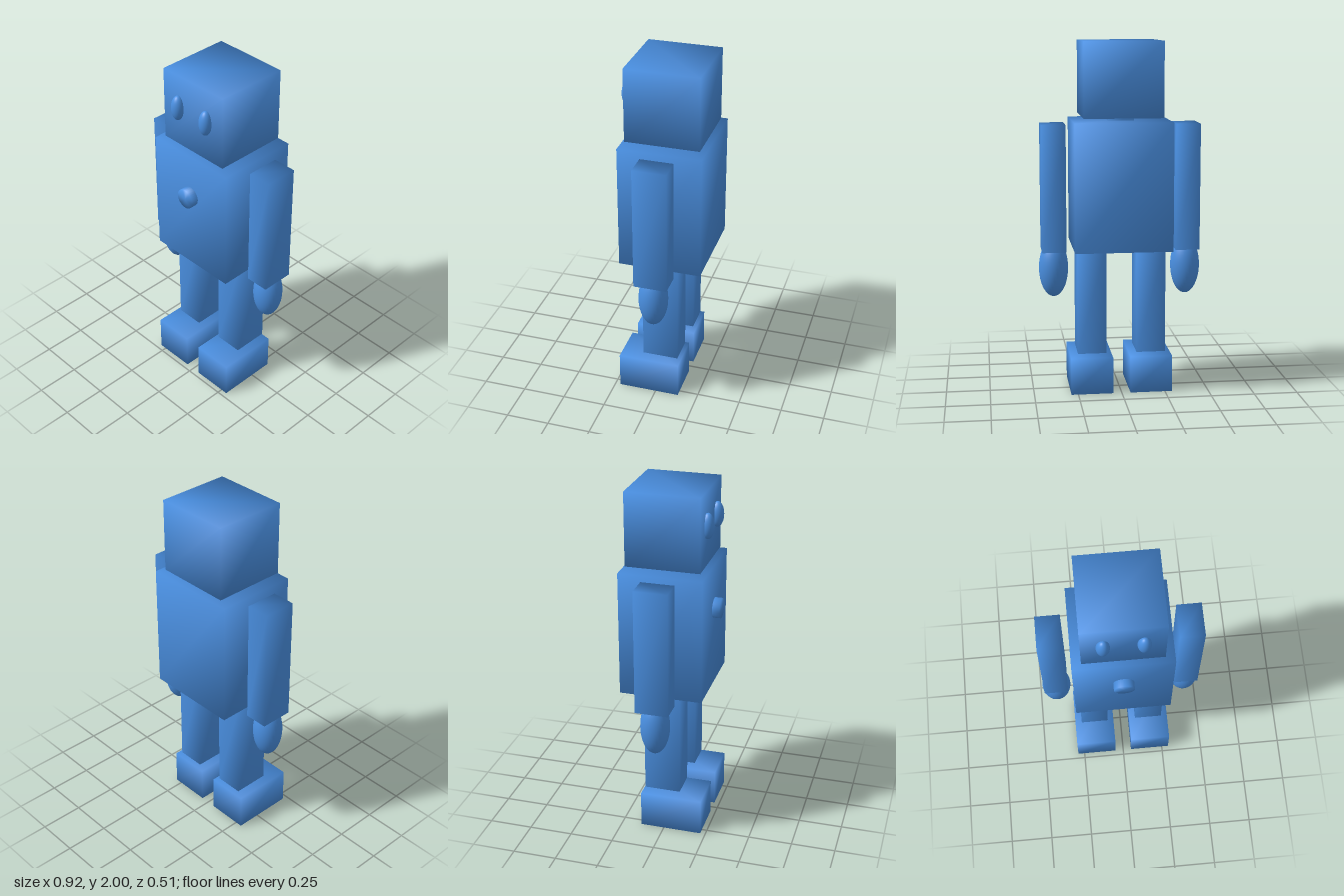
import * as THREE from 'three';
import { mergeVertices } from 'three/addons/utils/BufferGeometryUtils.js';

const blue = new THREE.MeshStandardMaterial({ color: 0x4a90e2 });
blue.name = 'blue';

// Weld all corners so normals blend softly across the edges
function soften(geometry) {
  geometry.deleteAttribute('normal');
  geometry.deleteAttribute('uv');
  const welded = mergeVertices(geometry, 1e-4);
  welded.computeVertexNormals();
  return welded;
}

function add(group, name, geometry, x, y, z) {
  const mesh = new THREE.Mesh(geometry, blue);
  mesh.name = name;
  mesh.position.set(x, y, z);
  group.add(mesh);
}

// Box given by its limits on each axis
function box(group, name, [x0, x1], [y0, y1], [z0, z1]) {
  const geometry = soften(new THREE.BoxGeometry(x1 - x0, y1 - y0, z1 - z0));
  add(group, name, geometry, (x0 + x1) / 2, (y0 + y1) / 2, (z0 + z1) / 2);
}

function ellipsoid(group, name, [rx, ry, rz], x, y, z) {
  add(group, name, new THREE.SphereGeometry(1, 32, 24).scale(rx, ry, rz), x, y, z);
}

export function createModel() {
  const robot = new THREE.Group();
  robot.name = 'robot';

  // Head, neck and torso
  box(robot, 'head', [-0.22, 0.22], [1.583, 2], [-0.232, 0.188]);
  box(robot, 'neck', [-0.072, 0.072], [1.5, 1.62], [-0.093, 0.055]);
  box(robot, 'torso', [-0.273, 0.273], [0.845, 1.56], [-0.257, 0.214]);

  // Round chest button
  const button = new THREE.CylinderGeometry(0.057, 0.057, 0.06, 32).rotateX(Math.PI / 2);
  add(robot, 'chestButton', soften(button), 0, 1.307, 0.226);

  // Mirrored parts
  for (const [side, s] of [['left', 1], ['right', -1]]) {
    const span = (a, b) => (s > 0 ? [a, b] : [-b, -a]);
    ellipsoid(robot, side + 'Eye', [0.036, 0.072, 0.036], s * 0.105, 1.814, 0.198);
    box(robot, side + 'Arm', span(0.31, 0.446), [0.825, 1.54], [-0.116, 0.073]);
    ellipsoid(robot, side + 'Hand', [0.083, 0.167, 0.083], s * 0.378, 0.722, -0.02);
    box(robot, side + 'Leg', span(0.086, 0.25), [0.236, 0.86], [-0.122, 0.085]);
    box(robot, side + 'Foot', span(0.05, 0.29), [0, 0.212], [-0.137, 0.22]);
  }
  return robot;
}
